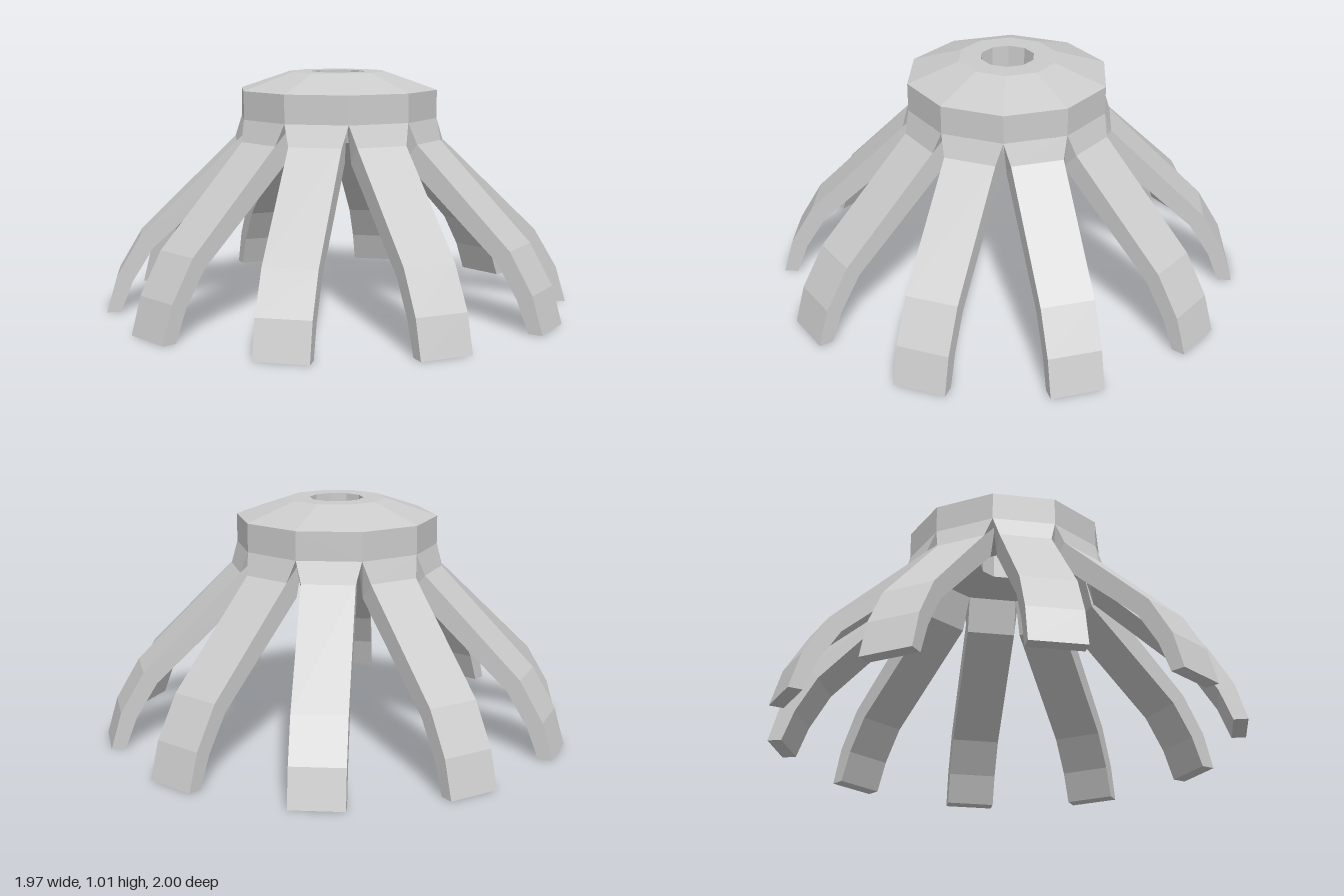
import * as THREE from 'three';

const SIDES = 10;

// Leg stations from hub to foot: outer radius, height, half width; inner radius, height, half width
const STATIONS = [
  [0.41, 0.82, 0.133, 0.34, 0.82, 0.11],
  [0.44, 0.73, 0.11, 0.38, 0.66, 0.11],
  [0.855, 0.325, 0.11, 0.80, 0.275, 0.11],
  [0.955, 0.155, 0.11, 0.89, 0.13, 0.11],
  [1.0, 0, 0.11, 0.94, 0, 0.11],
];

// One leg pointing along +z, four-cornered rings joined by quads
function legGeometry() {
  const positions = [];
  const index = [];
  for (const [ro, yo, wo, ri, yi, wi] of STATIONS) {
    positions.push(-wo, yo, ro, wo, yo, ro, wi, yi, ri, -wi, yi, ri);
  }
  for (let s = 0; s < STATIONS.length - 1; s++) {
    for (let k = 0; k < 4; k++) {
      const a = s * 4 + k;
      const b = s * 4 + ((k + 1) % 4);
      index.push(a, a + 4, b, b, a + 4, b + 4);
    }
  }
  // Foot sole
  const f = (STATIONS.length - 1) * 4;
  index.push(f, f + 3, f + 2, f, f + 2, f + 1);

  const geometry = new THREE.BufferGeometry();
  geometry.setAttribute('position', new THREE.Float32BufferAttribute(positions, 3));
  geometry.setIndex(index);
  const flat = geometry.toNonIndexed();
  flat.computeVertexNormals();
  return flat;
}

export function createModel() {
  const model = new THREE.Group();
  model.name = 'tenLeggedHub';
  const material = new THREE.MeshStandardMaterial({ color: 0xcccccc, flatShading: true });

  // Ten-sided hub with bevelled top and a through hole, one flat facing +z
  const profile = [
    [0.115, 0.82], [0.431, 0.82], [0.431, 0.94],
    [0.21, 1.015], [0.115, 1.015], [0.115, 0.82],
  ].map(([r, y]) => new THREE.Vector2(r, y));
  const hub = new THREE.Mesh(
    new THREE.LatheGeometry(profile, SIDES, Math.PI / SIDES, Math.PI * 2), material);
  hub.name = 'hub';
  model.add(hub);

  // A leg below each flat of the hub
  const geometry = legGeometry();
  for (let i = 0; i < SIDES; i++) {
    const leg = new THREE.Mesh(geometry, material);
    leg.name = `leg${i + 1}`;
    leg.rotation.y = (i / SIDES) * Math.PI * 2;
    model.add(leg);
  }
  return model;
}
